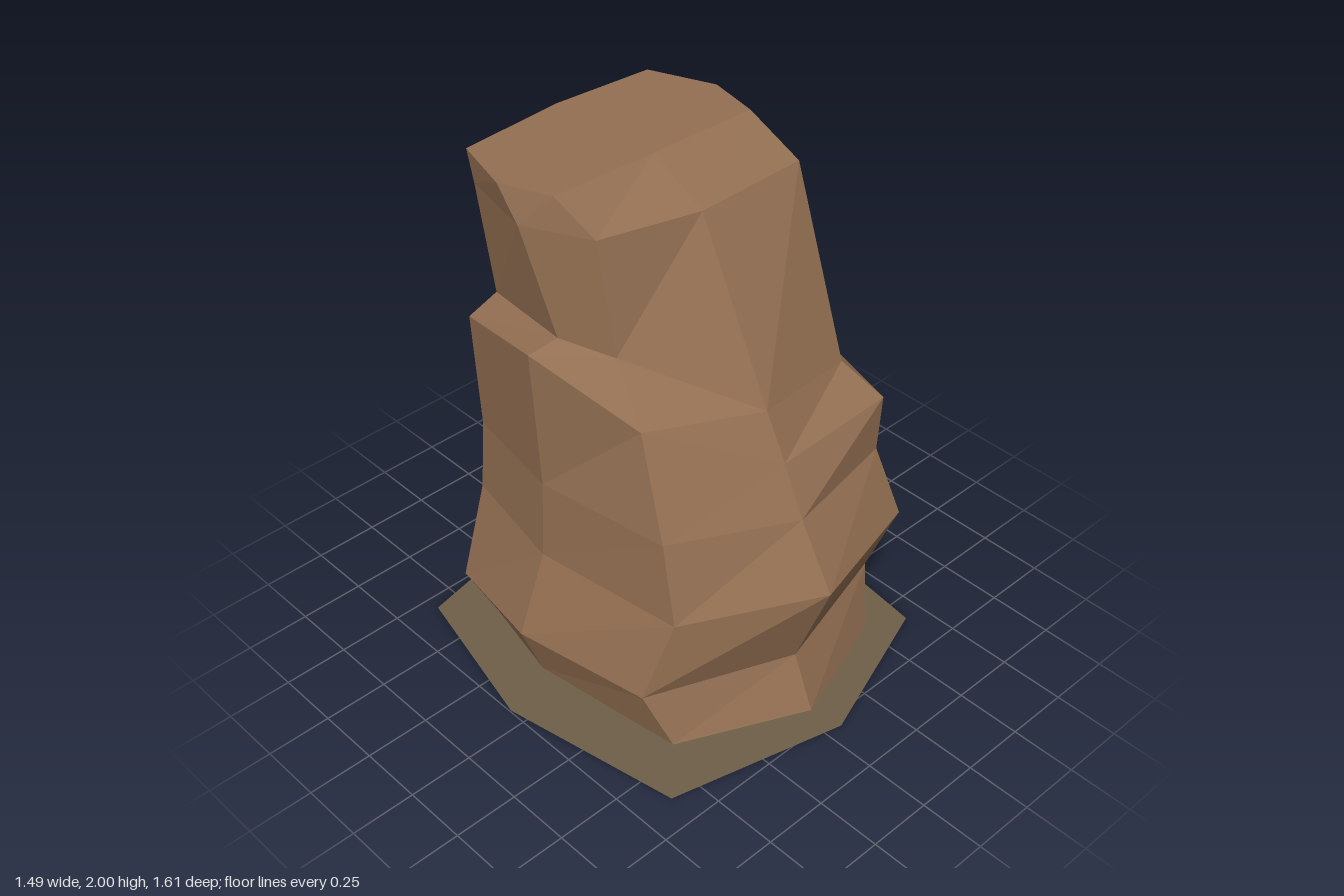
import * as THREE from 'three';

// Cross-sections from base to top. left/right: half widths; back: z of centre and corners;
// side: z of the right and left points; front: z of right corner, centre, left corner;
// y: one height, or one per point for a tilted ring; pinch: front corner inset on one side
const sections = [
  // base and foot bulge
  { y: .05, left: .515, right: .55, back: [-.6, -.475], side: [-.12, 0], front: [.485, .705, .55] },
  { y: [.22, .22, .22, .265, .265, .265, .265, .22], left: .605, right: .63, back: [-.69, -.57], side: [-.135, -.01], front: [.4, .615, .46] },
  // front overhang and waist
  { y: [.62, .62, .645, .645, .645, .58, .58, .6], left: .56, right: .515, back: [-.66, -.555], side: [-.13, -.02], front: [.46, .76, .63] },
  { y: .89, left: .53, right: .5, back: [-.64, -.54], side: [-.13, -.03], front: [.39, .615, .525] },
  // outer and inner rim of the shoulder
  { y: [1.34, 1.18, 1.26, 1.1, 1.08, 1.265, 1.44, 1.36], left: .555, right: .525, pinch: .735, back: [-.645, -.545], side: [-.14, -.085], front: [.25, .525, .52] },
  { y: [1.45, 1.305, 1.355, 1.21, 1.25, 1.45, 1.485, 1.45], left: .485, right: .43, pinch: .78, back: [-.585, -.49], side: [-.1, -.11], front: [.08, .435, .375] },
  // upper block and flat top
  { y: 1.88, left: .515, right: .475, pinch: .75, back: [-.585, -.52], side: [-.22, -.2], front: [.02, .12, .11] },
  { y: 2, left: .485, right: .48, back: [-.575, -.545], side: [-.31, -.3], front: [-.12, -.105, -.095] },
];

// Eight points round a section, from the back past the model's left to the front and on
function ring({ y, left, right, pinch = .845, back, side, front }) {
  const outline = [
    [0, back[0]], [left * .8, back[1]], [left, side[1]], [left * .91, front[2]],
    [.01, front[1]], [-right * pinch, front[0]], [-right, side[0]], [-right * .86, back[1]],
  ];
  return outline.map(([x, z], i) => [x, Array.isArray(y) ? y[i] : y, z]);
}

// Joins the rings with facets and caps both ends
function loft(rows) {
  const out = [];
  const tri = (a, b, c) => out.push(...a, ...b, ...c);
  const n = rows[0].length;
  for (let r = 0; r < rows.length - 1; r++) {
    for (let i = 0; i < n; i++) {
      const j = (i + 1) % n;
      const a = rows[r][i], b = rows[r][j], c = rows[r + 1][j], d = rows[r + 1][i];
      tri(b, a, d);
      tri(b, d, c);
    }
  }
  const bottom = rows[0], top = rows[rows.length - 1];
  for (let i = 1; i < n - 1; i++) {
    tri(top[0], top[i + 1], top[i]);
    tri(bottom[0], bottom[i], bottom[i + 1]);
  }
  const geo = new THREE.BufferGeometry();
  geo.setAttribute('position', new THREE.Float32BufferAttribute(out, 3));
  geo.computeVertexNormals();
  return geo;
}

export function createModel() {
  const group = new THREE.Group();
  group.name = 'rockPillar';

  const stone = new THREE.MeshStandardMaterial({ color: 0x936f52, flatShading: true });
  stone.name = 'brown stone';
  const earth = new THREE.MeshStandardMaterial({ color: 0x6e5f47, side: THREE.DoubleSide });
  earth.name = 'olive earth';

  // Faceted boulder
  const rock = new THREE.Mesh(loft(sections.map(ring)), stone);
  rock.name = 'rock';
  group.add(rock);

  // Flat ground patch, drawn in x and -z then laid down
  const outline = [[-.01, -.81], [.655, -.67], [.74, 0], [.665, .59], [.07, .8], [-.61, .63], [-.745, -.075], [-.6, -.69]];
  const patch = new THREE.ShapeGeometry(new THREE.Shape(outline.map(([x, z]) => new THREE.Vector2(x, -z))));
  patch.rotateX(-Math.PI / 2);
  const ground = new THREE.Mesh(patch, earth);
  ground.name = 'groundPatch';
  group.add(ground);

  return group;
}
